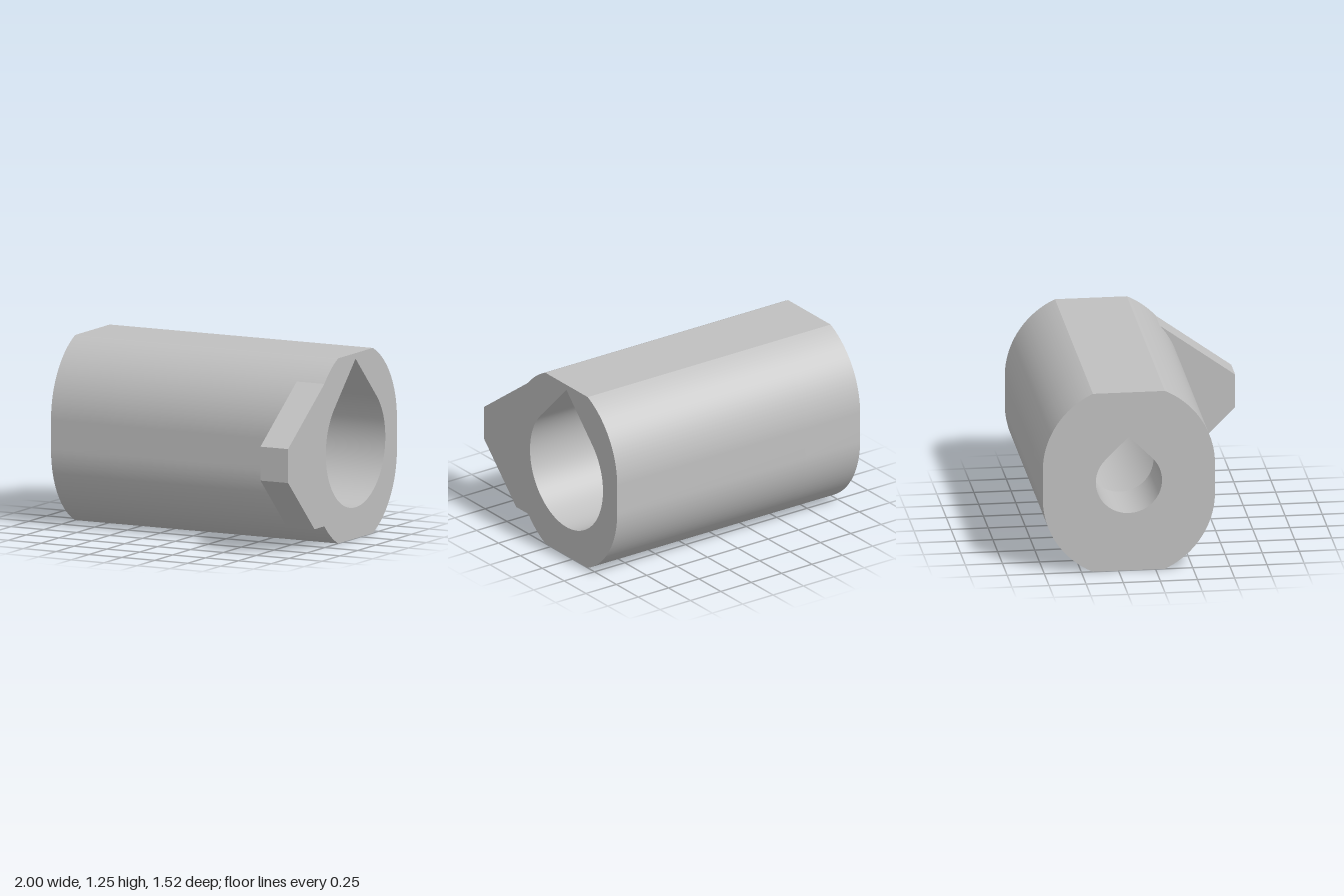
import * as THREE from 'three';
import { toCreasedNormals } from 'three/addons/utils/BufferGeometryUtils.js';

const R = 0.58;          // radius of the rounded body sides
const OFF = 0.1;         // height of each arc centre above / below the axis
const HALF = 0.627;      // half height between the top and bottom flats
const AXIS_Z = -0.18;

// Rounded body section with flats on top, bottom and both sides
function bodyShape() {
  const a = Math.asin((HALF - OFF) / R), P = Math.PI;
  const s = new THREE.Shape();
  s.absarc(0, OFF, R, 0, a, false);
  s.absarc(0, OFF, R, P - a, P, false);
  s.absarc(0, -OFF, R, P, P + a, false);
  s.absarc(0, -OFF, R, 2 * P - a, 2 * P, false);
  s.closePath();
  return s;
}

// Teardrop bore with a 45 degree peak
function teardrop(r) {
  const p = new THREE.Path();
  p.absarc(0, 0, r, Math.PI * 0.75, Math.PI * 2.25, false);
  p.lineTo(0, r * Math.SQRT2);
  p.closePath();
  return p;
}

// Chamfered tab whose inner edge follows the body side
function tabShape() {
  const h = 0.482, a = Math.asin((h - OFF) / R);
  const s = new THREE.Shape();
  s.moveTo(0.575, h);
  s.absarc(0, OFF, R, a, 0, true);
  s.absarc(0, -OFF, R, 0, -a, true);
  s.lineTo(0.575, -h);
  s.lineTo(0.945, -0.115);
  s.lineTo(0.945, 0.115);
  s.closePath();
  return s;
}

export function createModel() {
  const group = new THREE.Group();
  const grey = new THREE.MeshStandardMaterial({ color: 0xc0c0c0 });
  grey.name = 'light grey';

  // Extrudes a z-y section along x, from x0 to x1
  function add(name, shape, x0, x1) {
    const geo = new THREE.ExtrudeGeometry(shape, {
      depth: x1 - x0, bevelEnabled: false, curveSegments: 40,
    });
    geo.rotateY(-Math.PI / 2);
    geo.translate(x1, HALF, AXIS_Z);
    const mesh = new THREE.Mesh(toCreasedNormals(geo, 0.3), grey);
    mesh.name = name;
    group.add(mesh);
  }

  const step = -0.55; // shoulder between the wide and the narrow bore

  const wide = bodyShape();
  wide.holes.push(teardrop(0.417));
  add('wideBoreBody', wide, step, 1);

  const narrow = bodyShape();
  narrow.holes.push(teardrop(0.223));
  add('narrowBoreBody', narrow, -1, step);

  add('endTab', tabShape(), 0.79, 1);
  return group;
}
